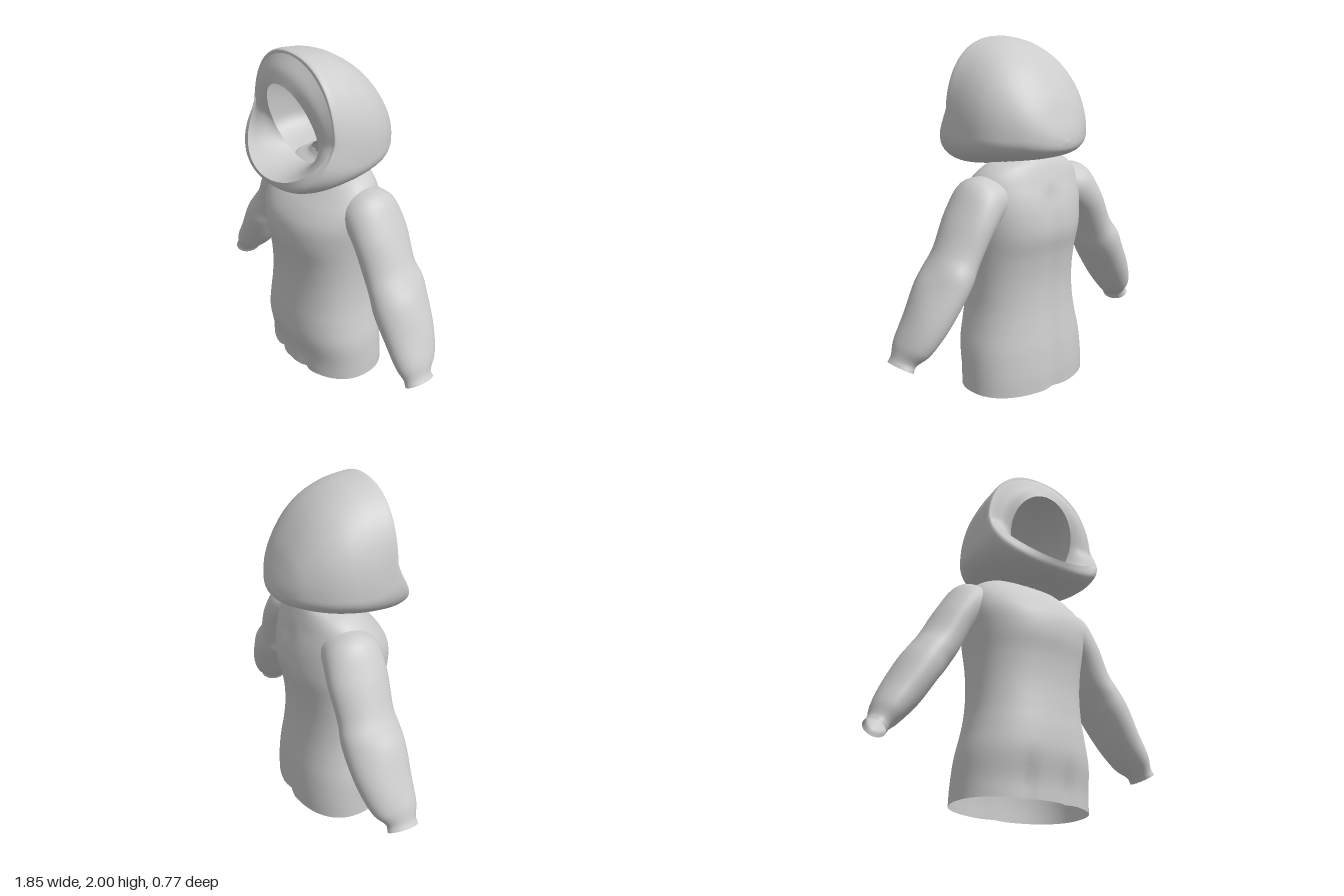
import * as THREE from 'three';

const SEG = 72;
const cloth = new THREE.MeshStandardMaterial({ color: 0xcccccc, side: THREE.DoubleSide });
cloth.name = 'plain grey';

// Signed power, for superellipse sections
const spow = (v, p) => Math.sign(v) * Math.abs(v) ** p;

// One closed section: fn(cos, sin) gives the point at each angle
function ring(fn) {
  return Array.from({ length: SEG }, (_, j) => {
    const a = (j / SEG) * Math.PI * 2;
    return new THREE.Vector3(...fn(Math.cos(a), Math.sin(a)));
  });
}

// Smooth skin through closed sections; skip(centre) leaves a face out
function loft(name, rows, steps = 4, skip = () => false) {
  const n = (rows.length - 1) * steps;
  const curves = rows[0].map((_, j) => new THREE.CatmullRomCurve3(rows.map(r => r[j])));
  const pts = [], index = [];
  for (let i = 0; i <= n; i++) for (const c of curves) pts.push(c.getPoint(i / n));
  const c = new THREE.Vector3();
  const face = (...t) => {
    c.set(0, 0, 0);
    t.forEach(k => c.addScaledVector(pts[k], 1 / 3));
    if (!skip(c)) index.push(...t);
  };
  for (let i = 0; i < n; i++) for (let j = 0; j < SEG; j++) {
    const k = (j + 1) % SEG, a = i * SEG + j, b = i * SEG + k;
    face(a, a + SEG, b);
    face(b, a + SEG, b + SEG);
  }
  const g = new THREE.BufferGeometry().setFromPoints(pts);
  g.setIndex(index);
  g.computeVertexNormals();
  const mesh = new THREE.Mesh(g, cloth);
  mesh.name = name;
  return mesh;
}

// Torso: height, half width, front z, back z
function torso() {
  const rows = [
    [0, 0.4, 0.235, -0.315], [0.1, 0.396, 0.24, -0.315], [0.25, 0.385, 0.268, -0.305],
    [0.38, 0.358, 0.268, -0.288], [0.5, 0.338, 0.258, -0.275], [0.65, 0.332, 0.252, -0.272],
    [0.8, 0.34, 0.265, -0.29], [0.93, 0.355, 0.29, -0.318], [1.05, 0.37, 0.282, -0.31],
    [1.14, 0.37, 0.235, -0.288], [1.21, 0.355, 0.175, -0.262], [1.27, 0.32, 0.12, -0.24],
    [1.315, 0.26, 0.075, -0.22], [1.345, 0.17, 0.03, -0.2], [1.375, 0.14, 0.01, -0.18],
  ].map(([y, w, zf, zb]) => ring((c, s) => {
    const x = w * spow(c, 0.88);
    let z = (zf + zb) / 2 + (zf - zb) / 2 * spow(s, 0.88);
    // Spine groove and the two small tucks at the front hem
    if (s < 0 && y < 1.15) z += 0.018 * Math.exp(-((x / 0.045) ** 2));
    if (s > 0 && y < 0.15) z -= 0.02 * Math.exp(-(((Math.abs(x) - 0.12) / 0.03) ** 2));
    return [x, y, z];
  }));
  return loft('torso', rows);
}

// Sleeve: centre x, centre y, half thickness, centre z, half depth
function sleeve(side) {
  const path = [
    [0.25, 1.15, 0.12, -0.07, 0.14], [0.34, 1.135, 0.14, -0.07, 0.165],
    [0.43, 1.035, 0.118, -0.075, 0.17], [0.53, 0.85, 0.112, -0.075, 0.168],
    [0.585, 0.765, 0.118, -0.075, 0.175], [0.64, 0.68, 0.118, -0.07, 0.175],
    [0.735, 0.52, 0.105, -0.06, 0.162], [0.815, 0.395, 0.085, -0.04, 0.125],
    [0.855, 0.33, 0.062, -0.022, 0.088], [0.874, 0.3, 0.062, -0.022, 0.092],
  ];
  const rows = path.map(([x, y, t, zc, h], i) => {
    const p = path[Math.max(i - 1, 0)], q = path[Math.min(i + 1, path.length - 1)];
    const d = new THREE.Vector2(q[0] - p[0], q[1] - p[1]).normalize();
    return ring((c, s) => {
      const fold = i > 1 && i < 8 ? 1 + 0.025 * Math.sin(i * 2.4 + s * 3 + c) : 1;
      return [side * (x - d.y * t * c * fold), y + d.x * t * c * fold, zc + h * s * fold];
    });
  });
  return loft(side > 0 ? 'leftSleeve' : 'rightSleeve', rows, 5);
}

// Upright section with its own widest height; the lip pushes the chin forward
function hoodRing([z0, lip, top, mid, low, w, n = 2.3]) {
  return ring((c, s) => {
    const y = mid + (c > 0 ? top - mid : mid - low) * spow(c, 2 / n);
    return [w * spow(s, 2 / n), y, z0 + lip * Math.max(0, (1.6 - y) / 0.26)];
  });
}

function helmet() {
  const g = new THREE.Group();
  g.name = 'helmet';
  const edge = hoodRing([0.19, 0.19, 1.985, 1.62, 1.345, 0.355, 2.05]);
  // Shell, from the face edge to the back, open underneath for the neck
  const shell = [
    [0.186, 0.145, 2.0, 1.55, 1.3, 0.373], [0.1, 0.14, 1.998, 1.5, 1.275, 0.386],
    [0, 0.06, 1.975, 1.47, 1.292, 0.391], [-0.1, 0, 1.925, 1.48, 1.32, 0.376],
    [-0.2, 0, 1.84, 1.48, 1.342, 0.332], [-0.3, 0, 1.7, 1.48, 1.368, 0.245],
    [-0.35, 0, 1.59, 1.47, 1.388, 0.165], [-0.38, 0, 1.505, 1.455, 1.415, 0.08],
    [-0.39, 0, 1.456, 1.455, 1.454, 0.001],
  ].map(hoodRing);
  const neckHole = p => p.y < 1.42 && (p.x / 0.2) ** 2 + ((p.z + 0.07) / 0.16) ** 2 < 1;
  g.add(loft('helmetShell', [edge, ...shell], 5, neckHole));
  // Padded ring sloping in to the oval face opening
  const inner = ring((c, s) => {
    const y = 1.605 + 0.235 * c;
    return [0.213 * s, y, 0.19 + (y - 1.6) * 0.29];
  });
  const middle = edge.map((p, j) => p.clone().lerp(inner[j], 0.5).add(new THREE.Vector3(0, 0, 0.015)));
  g.add(loft('faceRing', [edge, middle, inner], 6));
  return g;
}

export function createModel() {
  const model = new THREE.Group();
  model.name = 'hoodedTop';
  model.add(torso(), sleeve(1), sleeve(-1), helmet());
  return model;
}
